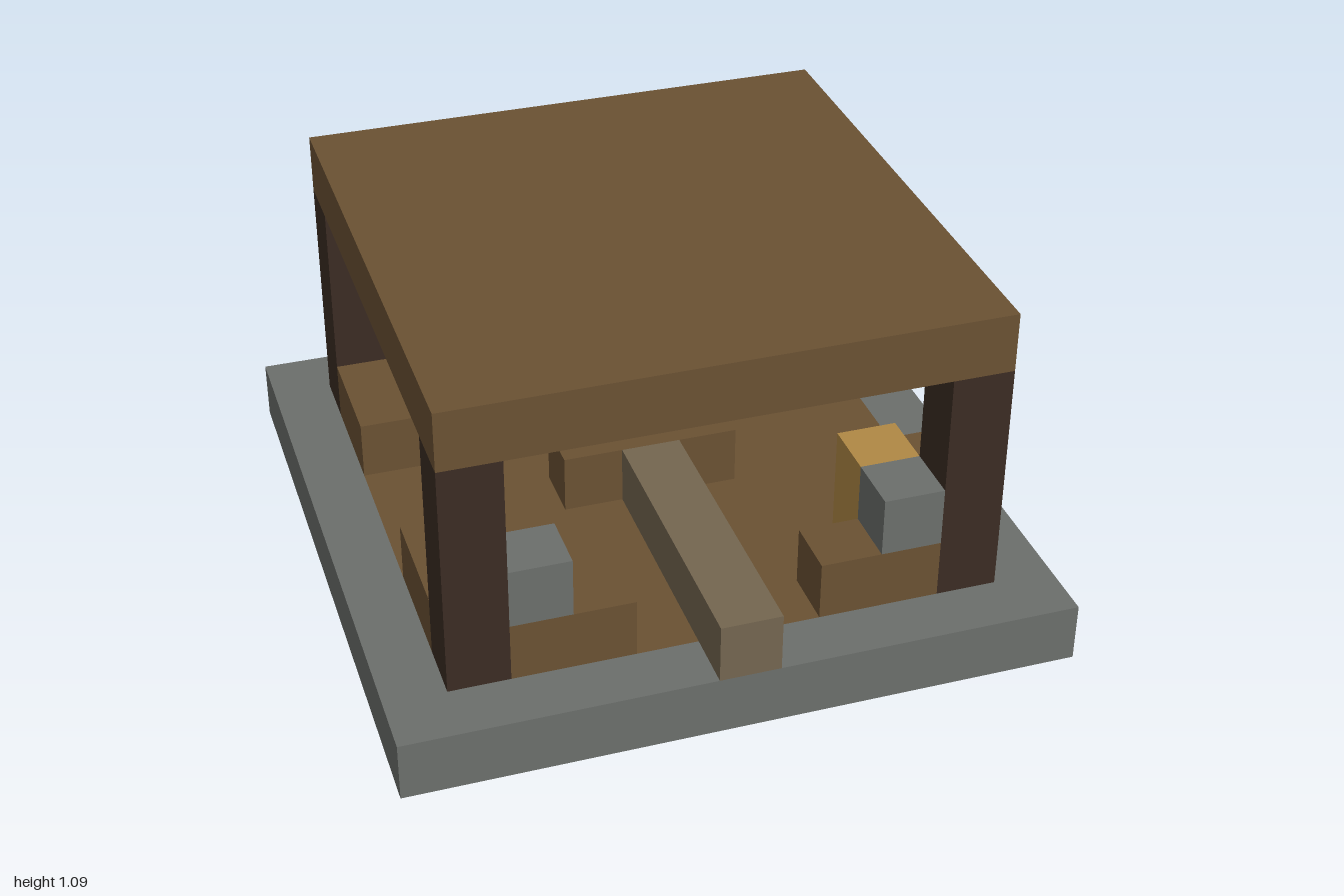
import * as THREE from 'three';

const U = 2 / 11; // side of one block

const mat = (name, color) => {
  const m = new THREE.MeshStandardMaterial({ color });
  m.name = name;
  return m;
};

export function createModel() {
  const stone = mat('stone grey', 0x6c6f6c);
  const plank = mat('plank brown', 0x6b5233);
  const log = mat('dark log', 0x3b2c23);
  const gravel = mat('path taupe', 0x746650);
  const amber = mat('lantern amber', 0xb18945);

  const model = new THREE.Group();
  model.name = 'pavilion';

  // Box covering whole blocks from (x0,y0,z0) to (x1,y1,z1) inclusive
  const block = (name, material, [x0, y0, z0], [x1, y1, z1] = [x0, y0, z0]) => {
    const geo = new THREE.BoxGeometry((x1 - x0 + 1) * U, (y1 - y0 + 1) * U, (z1 - z0 + 1) * U);
    const mesh = new THREE.Mesh(geo, material);
    mesh.name = name;
    mesh.position.set((x0 + x1) / 2 * U, (y0 + y1 + 1) / 2 * U, (z0 + z1) / 2 * U);
    model.add(mesh);
  };

  // Foundation: stone border around a plank floor
  for (const s of [-5, 5]) {
    block('foundationEdge', stone, [-5, 0, s], [5, 0, s]);
    block('foundationSide', stone, [s, 0, -4], [s, 0, 4]);
  }
  block('floor', plank, [-4, 0, -4], [4, 0, 4]);

  // Roof and hanging lantern
  block('roof', plank, [-4, 5, -4], [4, 5, 4]);
  block('lantern', amber, [0, 4, 0]);

  // Corners: post, two benches and a stone cube
  for (const x of [-1, 1]) {
    for (const z of [-1, 1]) {
      const lo = (s) => (s < 0 ? -3 : 2);
      block('post', log, [4 * x, 1, 4 * z], [4 * x, 4, 4 * z]);
      block('endBench', plank, [lo(x), 1, 4 * z], [lo(x) + 1, 1, 4 * z]);
      block('sideBench', plank, [4 * x, 1, lo(z)], [4 * x, 1, lo(z) + 1]);
      block('stoneCube', stone, [3 * x, 2, 4 * z]);
    }
  }

  // Central table and the raised path leading to it
  block('table', plank, [-1, 1, 0], [1, 1, 0]);
  block('path', gravel, [0, 1, 1], [0, 1, 5]);

  // Goods stored in the corners
  block('stoneBlock', stone, [3, 1, -3]);
  block('amberStack', amber, [3, 1, 3], [3, 2, 3]);
  block('logPile', log, [-3, 1, -3], [-2, 1, -2]);
  block('topLog', log, [-2, 2, -3]);

  return model;
}
